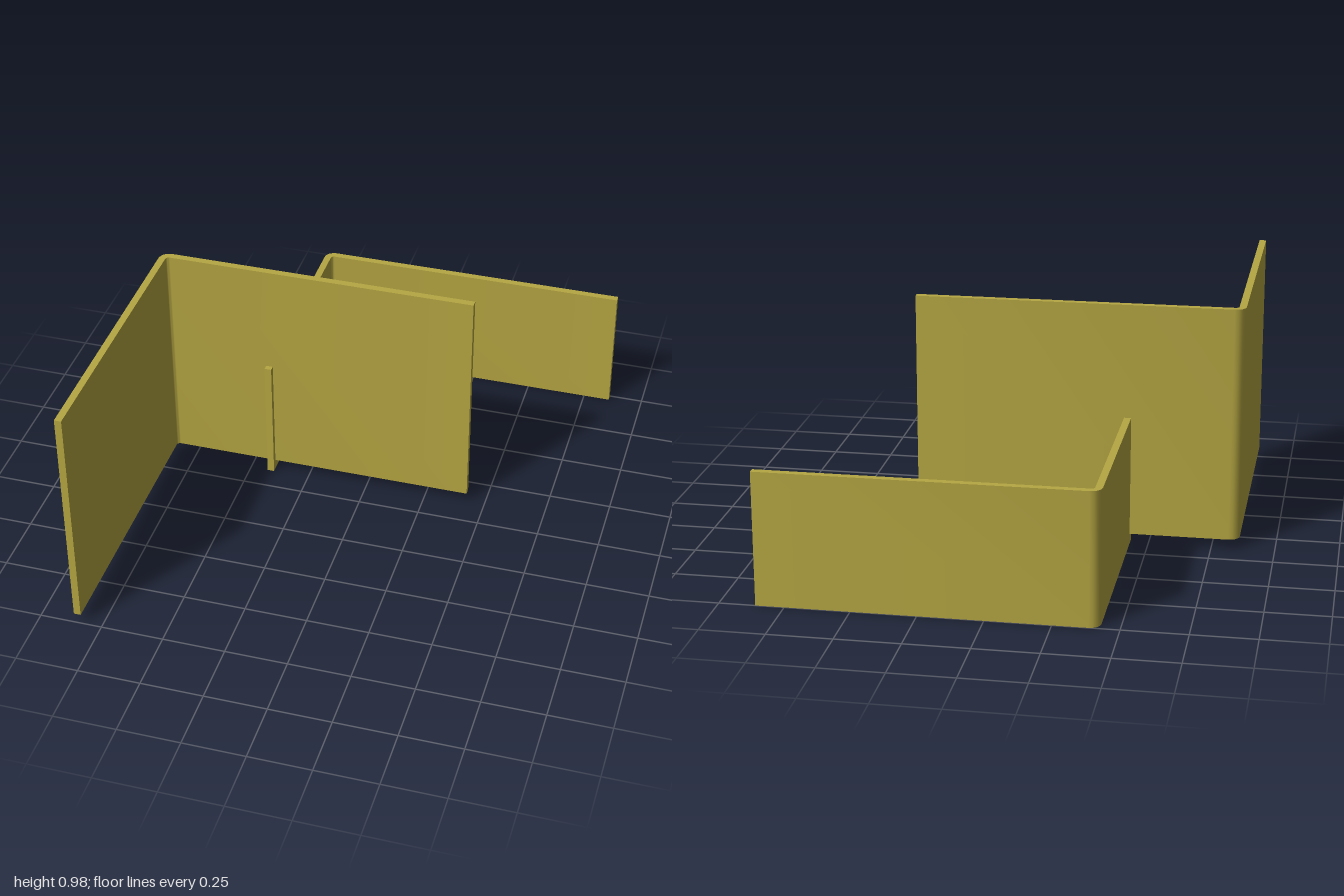
import * as THREE from 'three';
import { toCreasedNormals } from 'three/addons/utils/BufferGeometryUtils.js';

const brass = new THREE.MeshStandardMaterial({ name: 'brass', color: 0xb5a642 });

// Sheet folded at a right angle: one wing along +x at the back, one wing along +z at the left
function foldedSheet(name, { left, right, back, front, bottom, top }) {
  const t = 0.028, outer = 0.042, inner = outer - t;
  const cx = left + outer, cy = -back - outer; // bend centre, shape y is -z
  const s = new THREE.Shape();
  s.moveTo(left, -front);
  s.lineTo(left + t, -front);
  s.lineTo(left + t, cy);
  s.absarc(cx, cy, inner, Math.PI, Math.PI / 2, true);
  s.lineTo(right, -back - t);
  s.lineTo(right, -back);
  s.lineTo(cx, -back);
  s.absarc(cx, cy, outer, Math.PI / 2, Math.PI, false);
  s.lineTo(left, -front);

  const geometry = new THREE.ExtrudeGeometry(s, { depth: top - bottom, bevelEnabled: false, curveSegments: 2 });
  geometry.rotateX(-Math.PI / 2);
  geometry.translate(0, bottom, 0);
  const mesh = new THREE.Mesh(toCreasedNormals(geometry, 0.9), brass);
  mesh.name = name;
  return mesh;
}

export function createModel() {
  const model = new THREE.Group();
  model.name = 'foldedPanels';
  model.add(
    foldedSheet('tallFoldedPanel', { left: -0.86, right: 0.425, back: -0.148, front: 1, bottom: 0.043, top: 0.98 }),
    // The low panel's wing passes through the tall panel
    foldedSheet('lowFoldedPanel', { left: -0.427, right: 0.86, back: -1, front: -0.098, bottom: 0, top: 0.525 })
  );
  return model;
}
